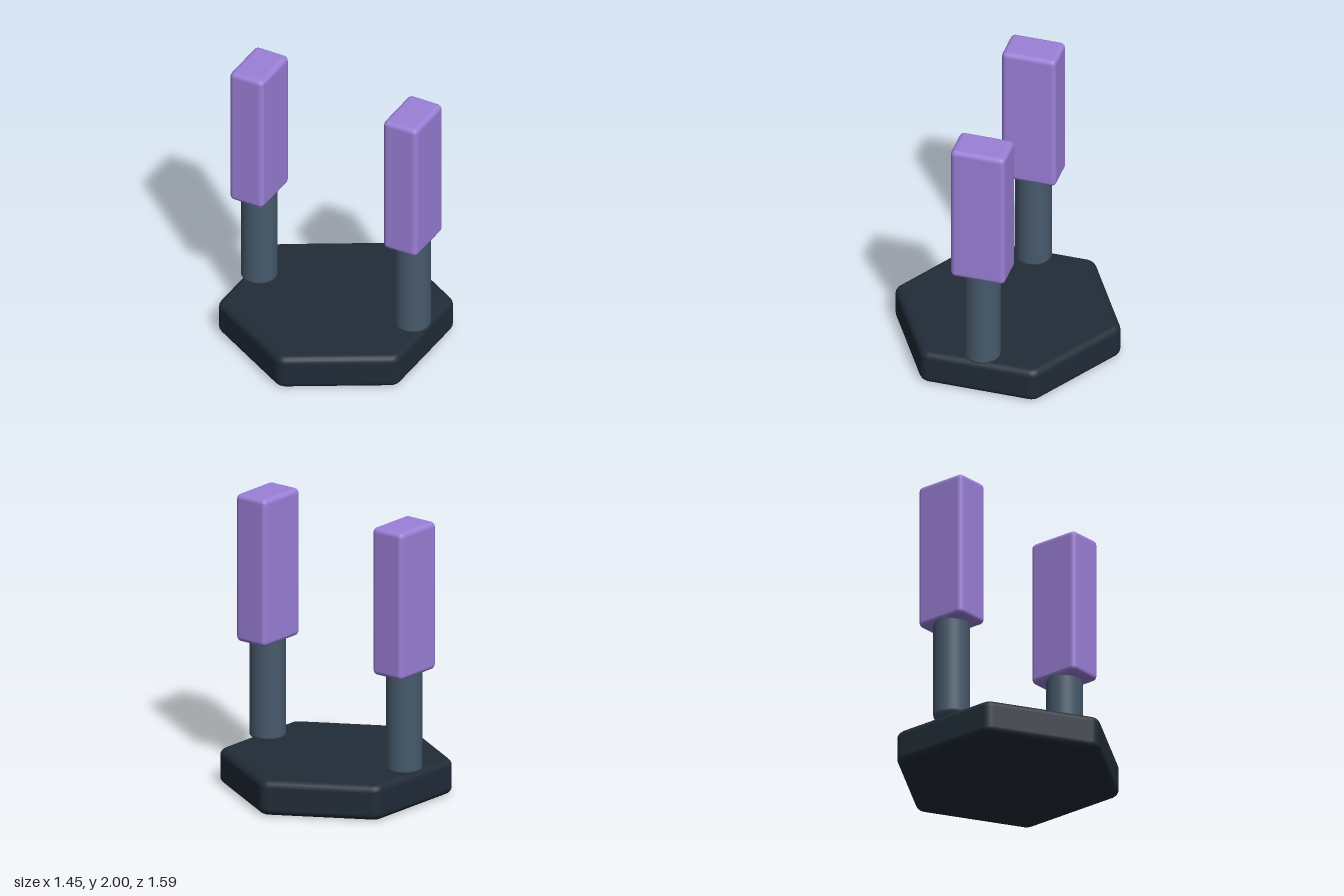
import * as THREE from 'three';
import { RoundedBoxGeometry } from 'three/addons/geometries/RoundedBoxGeometry.js';

// Upright prism standing on y = 0 with rounded corners (radius r, centred on a
// circle of radius `spread`) and softened top and bottom edges (radius e).
function roundedPrism(corners, spread, r, e, height, arcSteps) {
  const pos = [], nor = [], idx = [];
  const edgeSteps = 5;
  const dirs = [];
  for (let c = 0; c < corners; c++) {
    const mid = (c / corners) * Math.PI * 2;
    for (let s = 0; s <= arcSteps; s++) {
      dirs.push([mid, mid + (s / arcSteps - 0.5) * (Math.PI * 2 / corners)]);
    }
  }
  const n = dirs.length;
  const addRing = (t, y0, capNormal) => {
    for (const [mid, a] of dirs) {
      const rad = r - e + e * Math.cos(t);
      pos.push(spread * Math.sin(mid) + rad * Math.sin(a), y0 + e * Math.sin(t), spread * Math.cos(mid) + rad * Math.cos(a));
      if (capNormal) nor.push(0, capNormal, 0);
      else nor.push(Math.cos(t) * Math.sin(a), Math.sin(t), Math.cos(t) * Math.cos(a));
    }
  };
  // Side rings, bottom edge then top edge
  for (let i = 0; i <= edgeSteps; i++) addRing((i / edgeSteps - 1) * Math.PI / 2, e);
  for (let i = 0; i <= edgeSteps; i++) addRing((i / edgeSteps) * Math.PI / 2, height - e);
  for (let ring = 0; ring < edgeSteps * 2 + 1; ring++) {
    for (let j = 0; j < n; j++) {
      const a = ring * n + j, b = ring * n + (j + 1) % n;
      idx.push(a, b, b + n, a, b + n, a + n);
    }
  }
  // Flat caps
  for (const up of [-1, 1]) {
    const start = pos.length / 3;
    addRing(up * Math.PI / 2, up > 0 ? height - e : e, up);
    pos.push(0, up > 0 ? height : 0, 0);
    nor.push(0, up, 0);
    for (let j = 0; j < n; j++) {
      const a = start + j, b = start + (j + 1) % n;
      if (up > 0) idx.push(a, b, start + n);
      else idx.push(b, a, start + n);
    }
  }
  const g = new THREE.BufferGeometry();
  g.setAttribute('position', new THREE.Float32BufferAttribute(pos, 3));
  g.setAttribute('normal', new THREE.Float32BufferAttribute(nor, 3));
  g.setIndex(idx);
  return g;
}

export function createModel() {
  const model = new THREE.Group();
  const add = (name, geometry, color, x, y) => {
    const mesh = new THREE.Mesh(geometry, new THREE.MeshStandardMaterial({ color }));
    mesh.name = name;
    mesh.position.set(x, y, 0);
    model.add(mesh);
  };

  // Hexagonal base, points to the front and back
  add('base', roundedPrism(6, 0.712, 0.083, 0.05, 0.25, 4), 0x212c38, 0, 0);

  // Mirrored posts, each carrying an upright block
  const post = roundedPrism(4, 0, 0.125, 0.03, 0.75, 10);
  const block = new RoundedBoxGeometry(0.26, 1.05, 0.385, 4, 0.035);
  for (const [side, x] of [['left', 0.596], ['right', -0.596]]) {
    add(side + 'Post', post, 0x475a6c, x, 0.25);
    add(side + 'Block', block, 0x9b80d8, x, 1.475);
  }
  return model;
}
